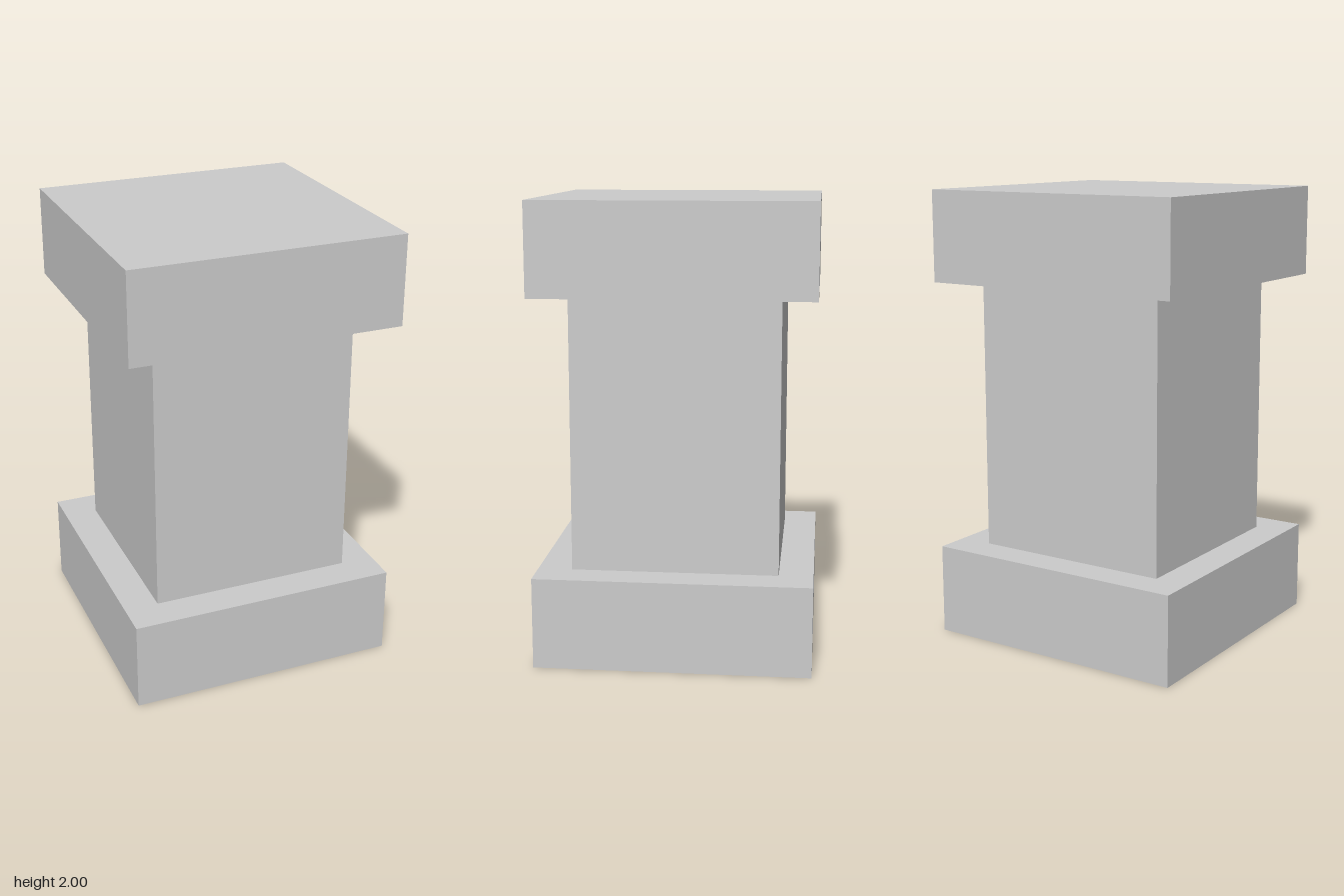
import * as THREE from 'three';

export function createModel() {
  const model = new THREE.Group();
  model.name = 'pillar';
  const stone = new THREE.MeshStandardMaterial({ name: 'lightGrey', color: 0xcccccc });

  // Square block standing with its underside at the given height
  const addBlock = (name, width, height, bottom) => {
    const mesh = new THREE.Mesh(new THREE.BoxGeometry(width, height, width), stone);
    mesh.name = name;
    mesh.position.y = bottom + height / 2;
    model.add(mesh);
  };

  addBlock('base', 1.2, 0.4, 0);
  addBlock('shaft', 0.9, 1.2, 0.4);
  addBlock('capital', 1.2, 0.4, 1.6);

  return model;
}
